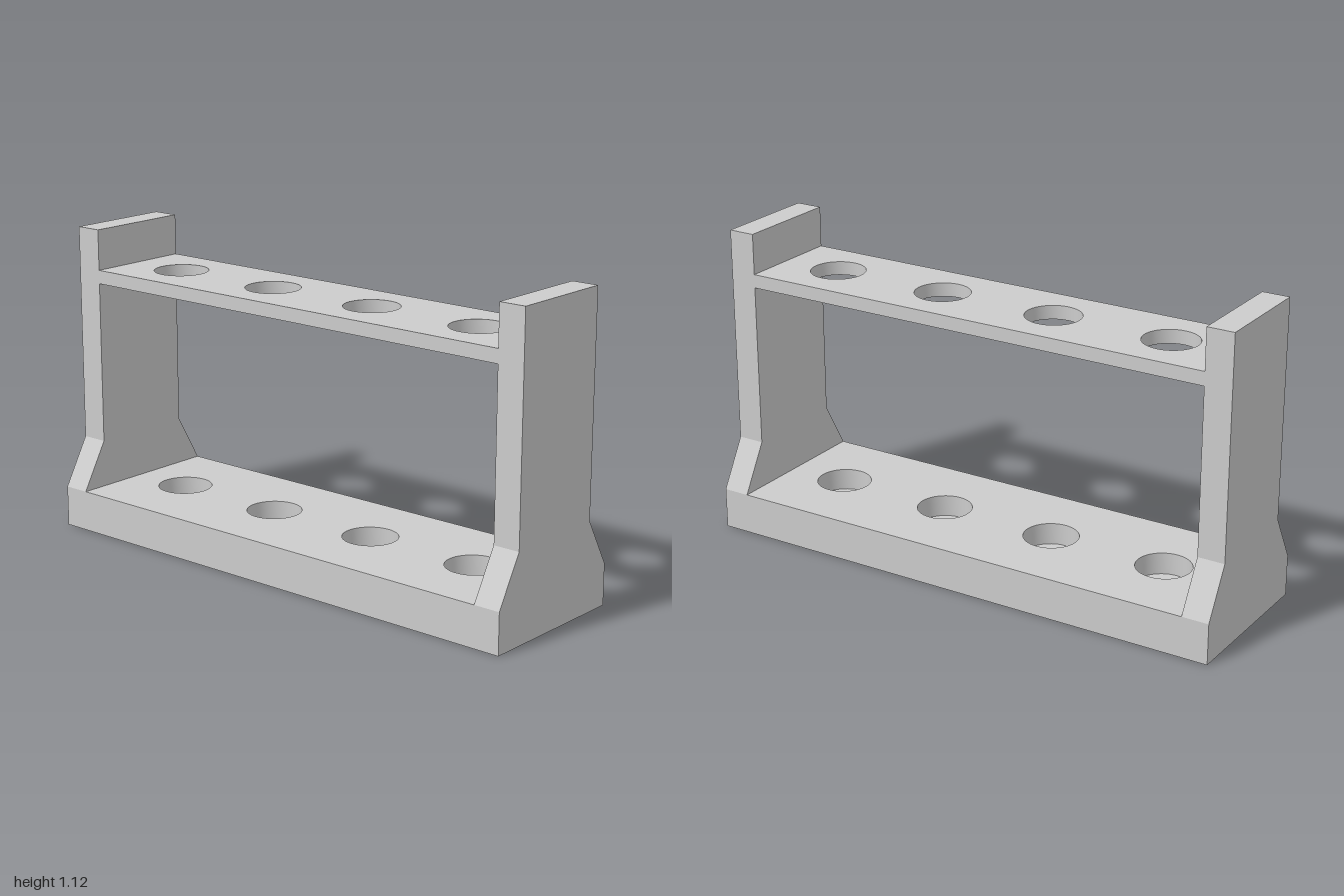
import * as THREE from 'three';
import { toCreasedNormals } from 'three/addons/utils/BufferGeometryUtils.js';

const material = new THREE.MeshStandardMaterial({ color: 0xcccccc });

const BASE_TOP = 0.15, HOLE_FLOOR = 0.07, HOLE_RADIUS = 0.1;
const HOLES_X = [-0.675, -0.225, 0.225, 0.675];

function part(name, geometry) {
  const mesh = new THREE.Mesh(geometry, material);
  mesh.name = name;
  return mesh;
}

// Horizontal plate pierced by the row of round holes
function drilledPlate(width, depth, bottom, top) {
  const x = width / 2, z = depth / 2;
  const shape = new THREE.Shape([[-x, -z], [x, -z], [x, z], [-x, z]].map(p => new THREE.Vector2(...p)));
  for (const hx of HOLES_X) {
    shape.holes.push(new THREE.Path().absarc(hx, 0, HOLE_RADIUS, 0, Math.PI * 2, true));
  }
  const geometry = new THREE.ExtrudeGeometry(shape, { depth: top - bottom, bevelEnabled: false, curveSegments: 24 });
  geometry.rotateX(-Math.PI / 2).translate(0, bottom, 0);
  return toCreasedNormals(geometry, 0.6);
}

// End panel: upright with a foot flaring out to the width of the base
function endPanel(outerX) {
  const half = [[0.3, BASE_TOP], [0.2, 0.325], [0.2, 1.125]];
  const outline = [...half, ...half.map(([z, y]) => [-z, y]).reverse()];
  const shape = new THREE.Shape(outline.map(p => new THREE.Vector2(...p)));
  const geometry = new THREE.ExtrudeGeometry(shape, { depth: 0.1, bevelEnabled: false });
  return geometry.rotateY(-Math.PI / 2).translate(outerX, 0, 0);
}

export function createModel() {
  const rack = new THREE.Group();
  rack.name = 'tubeRack';

  // Base with blind holes: solid floor under a drilled layer
  const base = new THREE.Group();
  base.name = 'base';
  base.add(
    part('baseFloor', new THREE.BoxGeometry(2, HOLE_FLOOR, 0.6).translate(0, HOLE_FLOOR / 2, 0)),
    part('baseSockets', drilledPlate(2, 0.6, HOLE_FLOOR, BASE_TOP))
  );

  rack.add(
    base,
    part('leftEndPanel', endPanel(1)),
    part('rightEndPanel', endPanel(-0.9)),
    part('shelf', drilledPlate(1.8, 0.4, 0.925, 0.975))
  );
  return rack;
}
